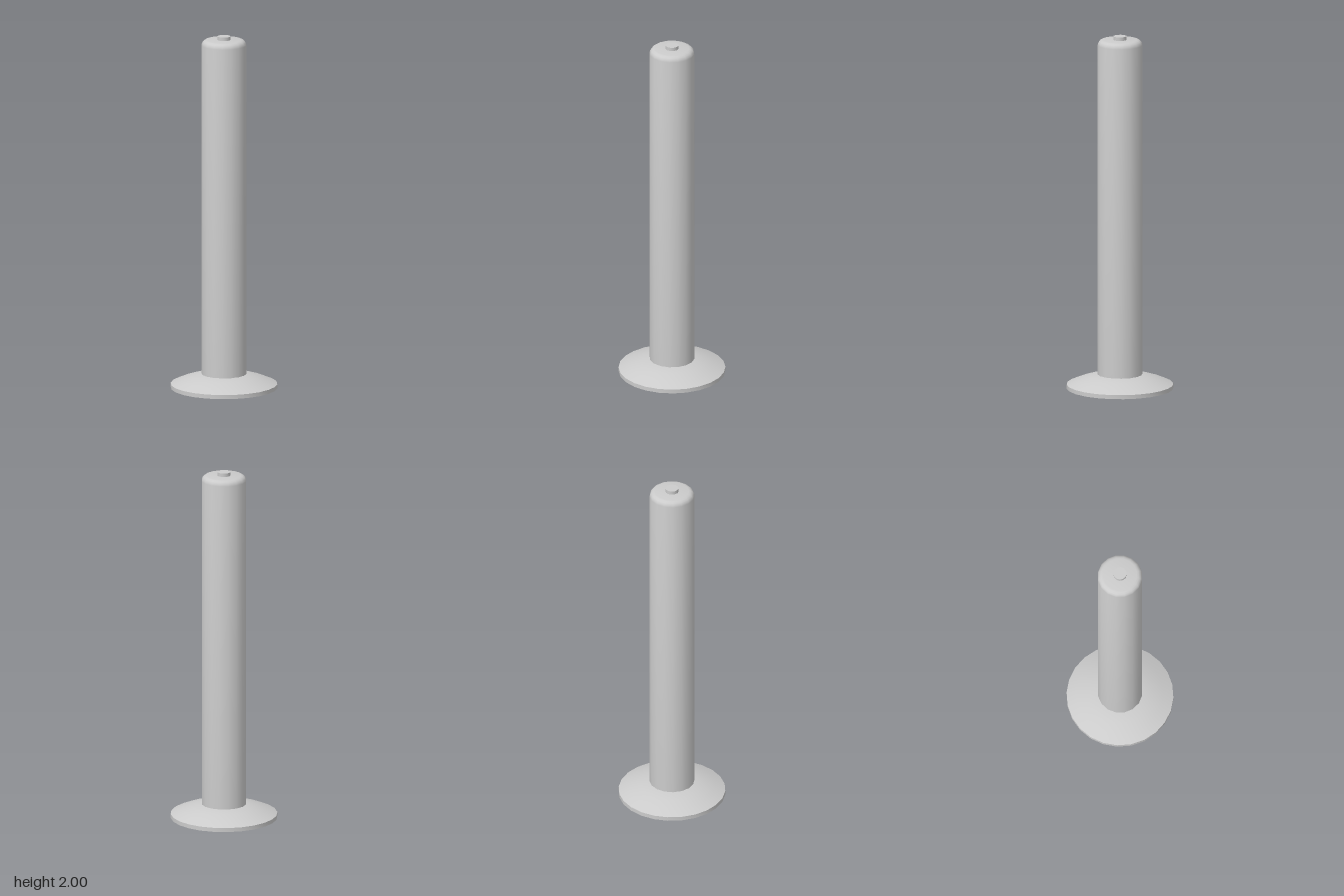
import * as THREE from 'three';
import { toCreasedNormals } from 'three/addons/utils/BufferGeometryUtils.js';

const material = new THREE.MeshStandardMaterial({ color: 0xcccccc });

// Turned part from [radius, height] pairs, listed bottom to top
function turned(name, sides, profile) {
  const points = profile.map(([r, y]) => new THREE.Vector2(r, y));
  const geometry = toCreasedNormals(new THREE.LatheGeometry(points, sides), 0.75);
  const mesh = new THREE.Mesh(geometry, material);
  mesh.name = name;
  return mesh;
}

export function createModel() {
  const group = new THREE.Group();
  group.name = 'post';

  // Flat-bottomed foot with a thin rim and a gently domed top
  group.add(turned('base', 24, [
    [0, 0], [0.297, 0], [0.297, 0.023], [0.24, 0.047], [0.18, 0.066], [0.12, 0.08], [0, 0.08],
  ]));

  // Tall column with a rounded top edge
  const radius = 0.125, top = 1.98, bevel = 0.03, steps = 4;
  const column = [[0, 0.06], [radius, 0.06]];
  for (let i = 0; i <= steps; i++) {
    const a = (i / steps) * Math.PI / 2;
    column.push([radius - bevel + bevel * Math.cos(a), top - bevel + bevel * Math.sin(a)]);
  }
  column.push([0, top]);
  group.add(turned('column', 16, column));

  // Small button on top
  group.add(turned('topButton', 12, [[0, 1.97], [0.037, 1.97], [0.037, 2], [0, 2]]));

  return group;
}
